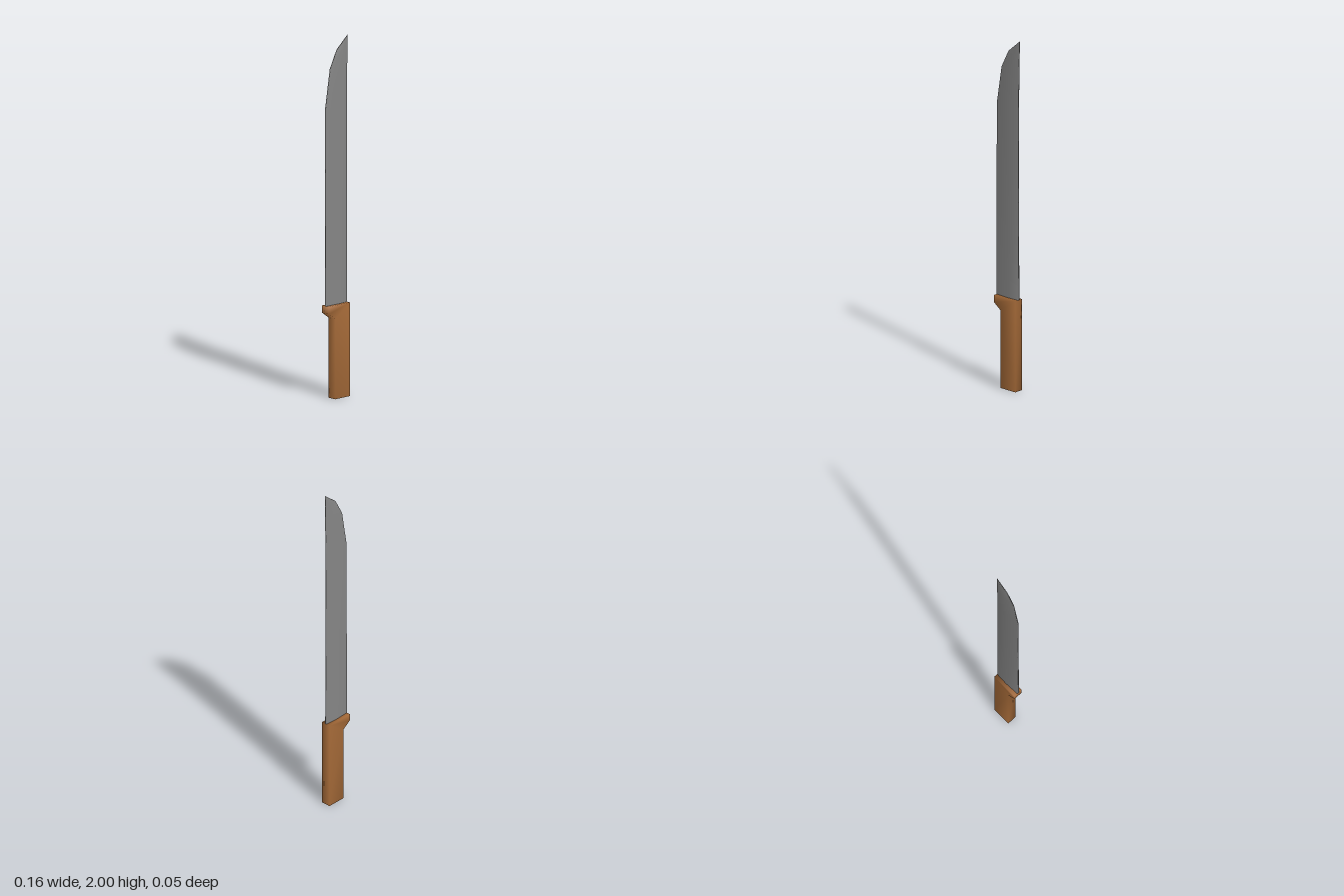
import * as THREE from 'three';
import { mergeVertices } from 'three/addons/utils/BufferGeometryUtils.js';

// Shares corners so shading runs softly around the edges
function softened(geometry) {
  geometry.deleteAttribute('normal');
  geometry.deleteAttribute('uv');
  const merged = mergeVertices(geometry, 1e-4);
  merged.computeVertexNormals();
  return merged;
}

// Blade from stacked six-point cross-sections, thickest along the middle
function bladeGeometry() {
  // height, left edge x, right edge x, half thickness
  const rows = [
    [0.5, -0.085, 0.072, 0.009],
    [1.08, -0.085, 0.072, 0.007],
    [1.61, -0.085, 0.072, 0.006],
    [1.83, -0.05, 0.075, 0.005],
    [1.93, 0.0, 0.078, 0.004],
    [2.0, 0.079, 0.08, 0.002],
  ];
  const positions = [];
  const index = [];
  for (const [y, left, right, half] of rows) {
    const middle = left + (right - left) * 0.55;
    const edge = half * 0.6;
    positions.push(left, y, edge, middle, y, half, right, y, edge);
    positions.push(right, y, -edge, middle, y, -half, left, y, -edge);
  }
  for (let r = 0; r < rows.length - 1; r++) {
    for (let j = 0; j < 6; j++) {
      const a = r * 6 + j;
      const b = r * 6 + ((j + 1) % 6);
      index.push(a, b, b + 6, a, b + 6, a + 6);
    }
  }
  // Tip cap
  const top = (rows.length - 1) * 6;
  for (let j = 1; j < 5; j++) index.push(top, top + j, top + j + 1);
  const geometry = new THREE.BufferGeometry();
  geometry.setAttribute('position', new THREE.Float32BufferAttribute(positions, 3));
  geometry.setIndex(index);
  geometry.computeVertexNormals();
  return geometry;
}

// Handle with a finger guard on its right side
function handleGeometry() {
  const outline = [
    [-0.037, 0], [0.073, 0], [0.073, 0.52],
    [-0.085, 0.52], [-0.085, 0.48], [-0.037, 0.445],
  ];
  const shape = new THREE.Shape(outline.map(([x, y]) => new THREE.Vector2(x, y)));
  const geometry = new THREE.ExtrudeGeometry(shape, { depth: 0.054, bevelEnabled: false });
  geometry.translate(0, 0, -0.027);
  return softened(geometry);
}

export function createModel() {
  const steel = new THREE.MeshStandardMaterial({ color: 0x858585 });
  steel.name = 'steel';
  const wood = new THREE.MeshStandardMaterial({ color: 0xa56a38 });
  wood.name = 'wood';

  const model = new THREE.Group();
  model.name = 'knife';
  const blade = new THREE.Mesh(bladeGeometry(), steel);
  blade.name = 'blade';
  const handle = new THREE.Mesh(handleGeometry(), wood);
  handle.name = 'handle';
  model.add(blade, handle);
  return model;
}
